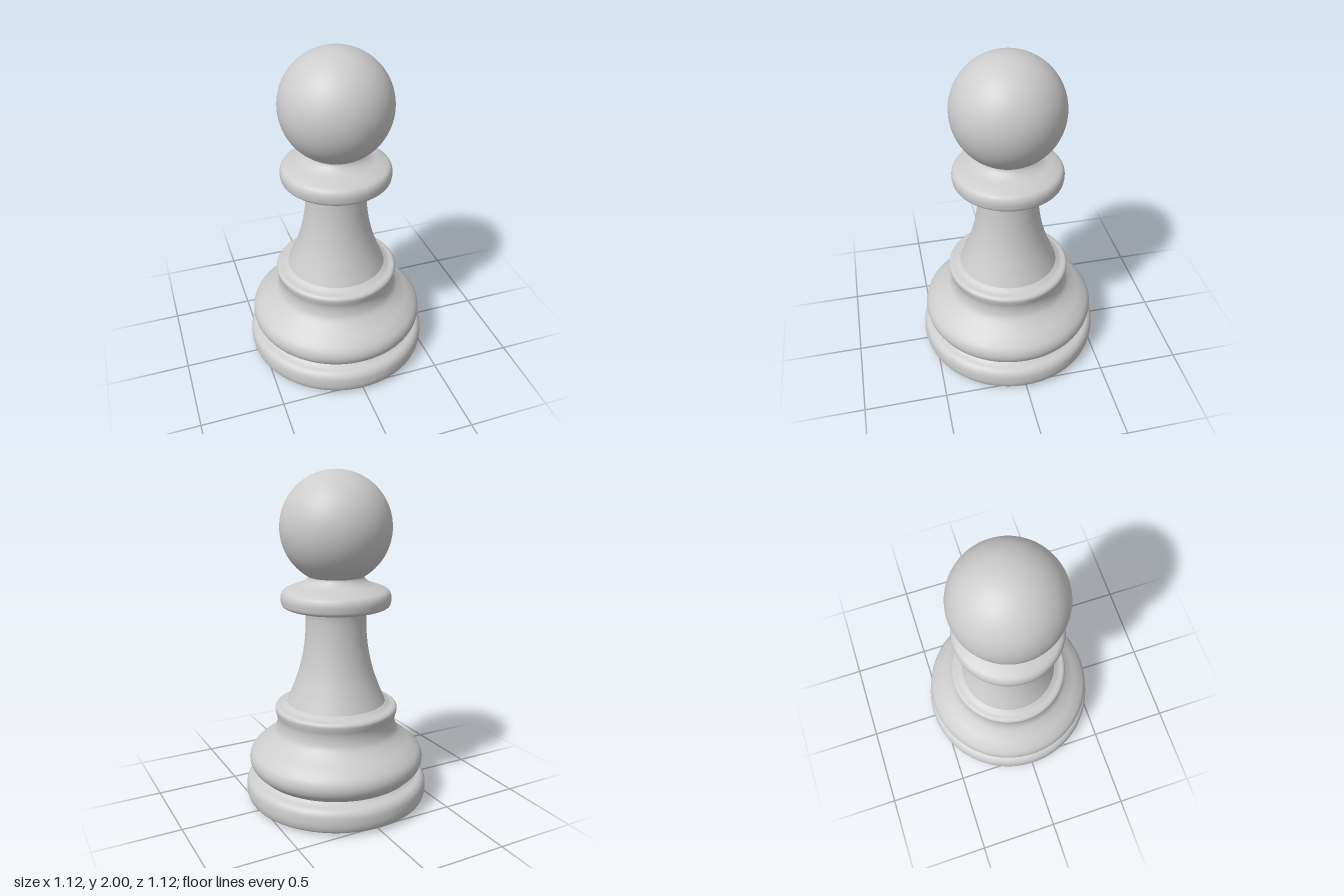
import * as THREE from 'three';

const SEGMENTS = 96;

// Smooth turned section through [radius, height] points, listed bottom to top
function turned(name, points, material) {
  const curve = new THREE.CatmullRomCurve3(
    points.map(([r, y]) => new THREE.Vector3(r, y, 0)), false, 'centripetal');
  const profile = curve.getPoints(points.length * 5)
    .map((p) => new THREE.Vector2(Math.max(p.x, 0), p.y));
  const mesh = new THREE.Mesh(new THREE.LatheGeometry(profile, SEGMENTS), material);
  mesh.name = name;
  return mesh;
}

export function createModel() {
  const group = new THREE.Group();
  group.name = 'pawn';
  const grey = new THREE.MeshStandardMaterial({ color: 0xcccccc });
  grey.name = 'light grey';

  // Flat underside
  const underside = new THREE.Mesh(new THREE.CircleGeometry(0.525, SEGMENTS), grey);
  underside.name = 'underside';
  underside.rotation.x = Math.PI / 2;
  underside.position.y = 0.01;
  const pad = new THREE.Mesh(new THREE.CylinderGeometry(0.3, 0.3, 0.01, SEGMENTS), grey);
  pad.name = 'bottomPad';
  pad.position.y = 0.005;
  group.add(underside, pad);

  // Foot ring
  group.add(turned('footRing', [
    [0.52, 0.01], [0.545, 0.022], [0.557, 0.05], [0.56, 0.085],
    [0.554, 0.128], [0.535, 0.153], [0.5, 0.168], [0.482, 0.182],
  ], grey));

  // Rounded belly rising to the ledge
  group.add(turned('belly', [
    [0.482, 0.18], [0.495, 0.195], [0.522, 0.222], [0.536, 0.265], [0.526, 0.31],
    [0.485, 0.355], [0.42, 0.405], [0.377, 0.45], [0.364, 0.49], [0.363, 0.53],
    [0.371, 0.565], [0.373, 0.588], [0.362, 0.602], [0.33, 0.61], [0.3, 0.627],
  ], grey));

  // Tapering stem
  group.add(turned('stem', [
    [0.3, 0.625], [0.262, 0.715], [0.222, 0.83], [0.194, 0.96],
    [0.182, 1.08], [0.182, 1.16], [0.19, 1.207],
  ], grey));

  // Collar under the head
  group.add(turned('collar', [
    [0.186, 1.205], [0.25, 1.205], [0.3, 1.21], [0.32, 1.222], [0.327, 1.25],
    [0.326, 1.28], [0.313, 1.305], [0.27, 1.326], [0.21, 1.347],
    [0.18, 1.368], [0.168, 1.385], [0.165, 1.4],
  ], grey));

  // Ball head
  const head = new THREE.Mesh(new THREE.SphereGeometry(0.327, SEGMENTS, 48), grey);
  head.name = 'head';
  head.position.y = 1.673;
  group.add(head);

  return group;
}
